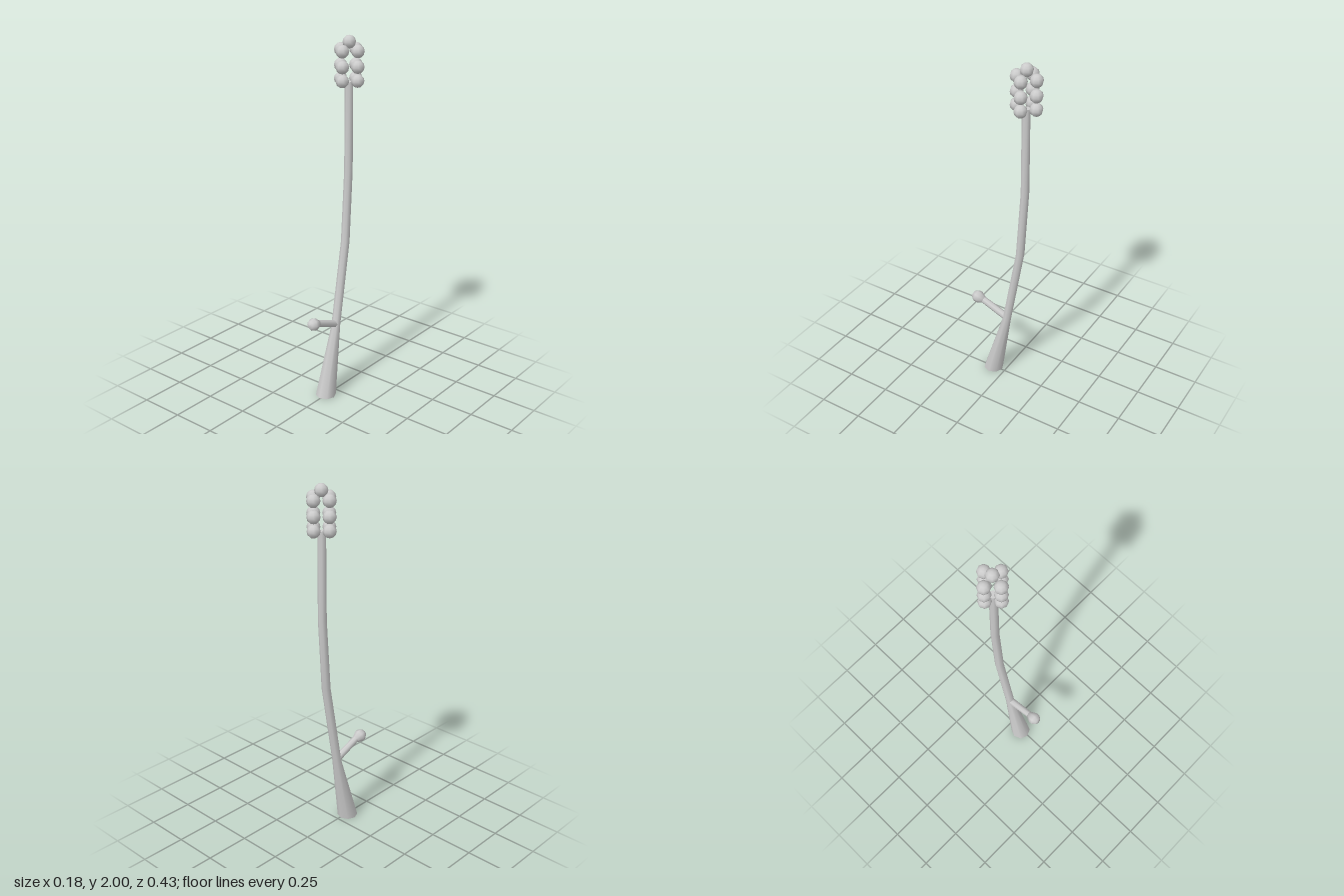
import * as THREE from 'three';
import { mergeVertices } from 'three/addons/utils/BufferGeometryUtils.js';

const CX = -0.005; // centre plane of the stalk
const SIDES = 8;
const material = new THREE.MeshStandardMaterial({ color: 0xcccccc });
const openMaterial = new THREE.MeshStandardMaterial({ color: 0xcccccc, side: THREE.DoubleSide });

function addMesh(parent, name, geometry, mat = material) {
  const mesh = new THREE.Mesh(geometry, mat);
  mesh.name = name;
  parent.add(mesh);
  return mesh;
}

// Tube of horizontal rings; each ring is [y, z, radius], listed from the top down
function ringTube(rings) {
  const n = rings.length - 1;
  let geo = new THREE.CylinderGeometry(1, 1, n, SIDES, n, true);
  const pos = geo.attributes.position;
  for (let i = 0; i < pos.count; i++) {
    const [y, z, r] = rings[Math.round(n / 2 - pos.getY(i))];
    pos.setXYZ(i, pos.getX(i) * r, y, pos.getZ(i) * r + z);
  }
  geo.deleteAttribute('uv');
  geo.deleteAttribute('normal');
  geo = mergeVertices(geo, 1e-5);
  geo.computeVertexNormals();
  return geo;
}

// Turned part whose axis starts at a point and runs along a direction
function turned(parent, name, profile, start, direction, mat) {
  const points = profile.map(([r, s]) => new THREE.Vector2(r, s));
  const mesh = addMesh(parent, name, new THREE.LatheGeometry(points, SIDES), mat);
  mesh.position.copy(start);
  mesh.quaternion.setFromUnitVectors(new THREE.Vector3(0, 1, 0), direction.clone().normalize());
  return mesh;
}

export function createModel() {
  const model = new THREE.Group();
  model.name = 'plantStalk';

  // Bent stem, flared and open at the foot
  const rings = [
    [1.76, -0.122, 0.022],
    [1.28, -0.122, 0.023],
    [0.88, -0.097, 0.024],
    [0.40, -0.014, 0.025],
    [0, 0.076, 0.057],
  ];
  addMesh(model, 'stem', ringTube(rings), openMaterial).position.x = CX;
  const cap = addMesh(model, 'stemTop', new THREE.CircleGeometry(0.022, SIDES));
  cap.rotation.x = -Math.PI / 2;
  cap.position.set(CX, 1.76, -0.122);

  // Side shoot with its bud
  const root = new THREE.Vector3(CX, 0.41, -0.012);
  const tip = new THREE.Vector3(CX, 0.472, 0.145);
  const along = tip.clone().sub(root);
  turned(model, 'sideShoot', [[0.021, 0], [0.019, along.length()]], root, along, openMaterial);
  turned(model, 'bud', [[0, 0], [0.02, 0], [0.035, 0.032], [0.034, 0.05], [0.02, 0.07], [0, 0.073]],
    new THREE.Vector3(CX, 0.47, 0.141), new THREE.Vector3(0, 0.018, 0.074), openMaterial);

  // Cluster of round seeds: three rings of four and one on top
  const seeds = new THREE.Group();
  seeds.name = 'seedHead';
  seeds.position.set(CX, 0, -0.123);
  model.add(seeds);
  const seedGeo = new THREE.SphereGeometry(0.035, 8, 6);
  for (const y of [1.769, 1.841, 1.922]) {
    for (let k = 0; k < 4; k++) {
      const a = (k * Math.PI) / 2;
      addMesh(seeds, 'seed', seedGeo).position.set(Math.sin(a) * 0.056, y, Math.cos(a) * 0.056);
    }
  }
  addMesh(seeds, 'topSeed', seedGeo).position.y = 1.965;

  return model;
}
